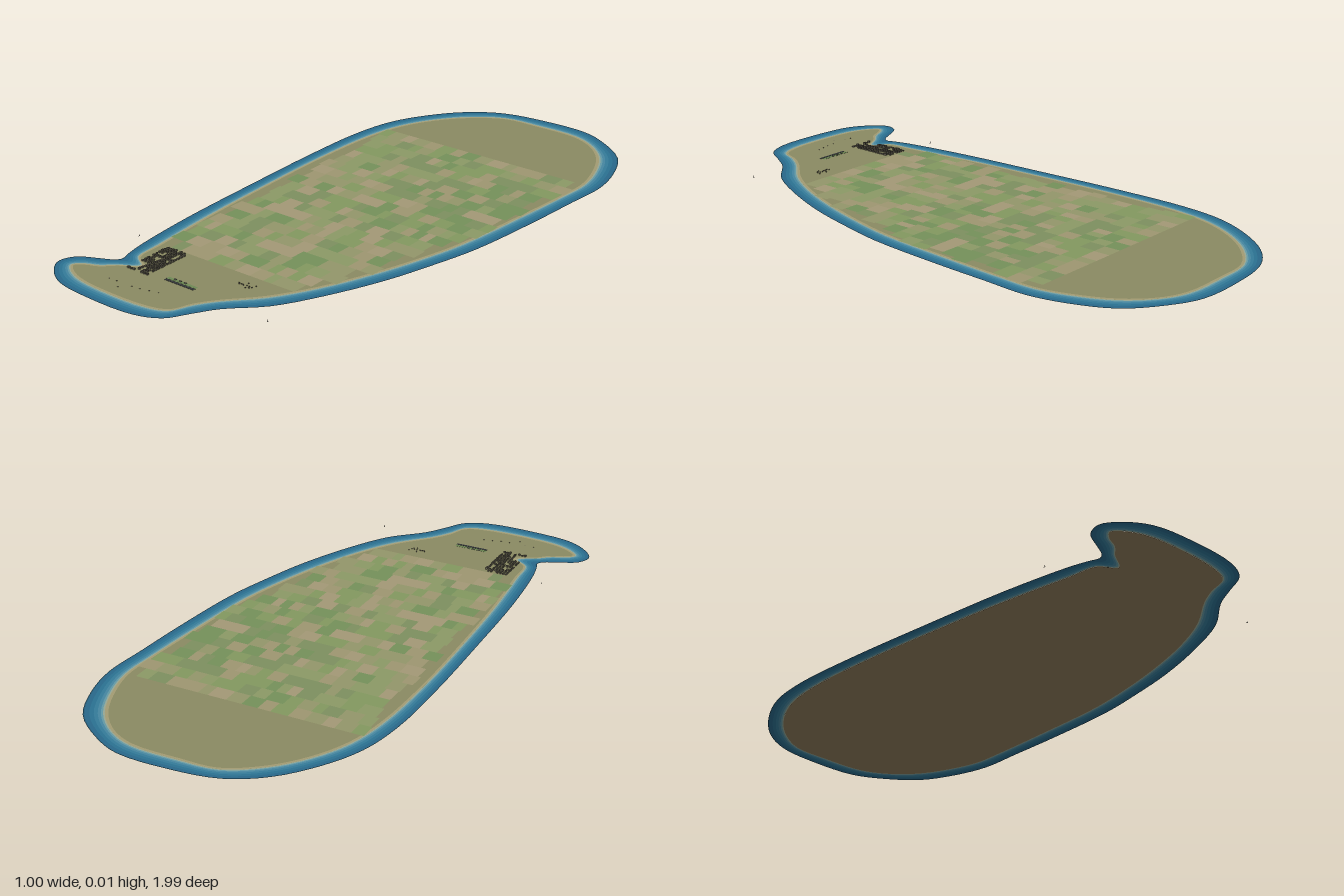
import * as THREE from 'three';
import { mergeGeometries } from 'three/addons/utils/BufferGeometryUtils.js';

// outer edge of the water and matching shoreline, as x, z pairs
const SEA = [.03, -1, .2, -.995, .3, -.95, .41, -.86, .47, -.73, .495, -.6, .485, -.45, .47, -.24, .44, .03,
  .4, .2, .35, .37, .27, .56, .19, .7, .09, .8, .045, .87, 0, .94, -.08, .975, -.26, .98, -.4, .96,
  -.475, .91, -.505, .86, -.485, .81, -.42, .775, -.38, .755, -.365, .735, -.375, .7, -.39, .63,
  -.415, .4, -.43, .08, -.44, -.24, -.435, -.5, -.405, -.66, -.34, -.79, -.245, -.905, -.13, -.975];
const SHORE = [.03, -.945, .19, -.94, .28, -.9, .36, -.82, .415, -.7, .44, -.59, .435, -.47, .415, -.24, .385, .03,
  .345, .2, .295, .36, .225, .53, .145, .665, .05, .77, .01, .83, -.02, .895, -.085, .92, -.26, .925, -.375, .91,
  -.435, .88, -.455, .855, -.43, .83, -.385, .81, -.345, .775, -.285, .735, -.335, .695, -.345, .6,
  -.37, .35, -.385, .08, -.395, -.24, -.385, -.5, -.355, -.645, -.295, -.765, -.21, -.865, -.1, -.935];

let seed = 7;
const random = () => (seed = (seed * 16807) % 2147483647) / 2147483647;
const pick = (list) => list[Math.floor(random() * list.length)];

function smoothOutline(flat) {
  const points = [];
  for (let i = 0; i < flat.length; i += 2) points.push(new THREE.Vector3(flat[i], 0, flat[i + 1]));
  return new THREE.CatmullRomCurve3(points, true, 'centripetal').getPoints(points.length * 4).slice(0, -1);
}

// flat strip between two matching closed outlines
function ringGeometry(outer, inner) {
  const n = outer.length, position = [], index = [];
  for (const p of [...outer, ...inner]) position.push(p.x, p.y, p.z);
  for (let i = 0; i < n; i++) {
    const j = (i + 1) % n;
    index.push(i, n + i, j, j, n + i, n + j);
  }
  const g = new THREE.BufferGeometry();
  g.setAttribute('position', new THREE.Float32BufferAttribute(position, 3));
  g.setIndex(index);
  g.computeVertexNormals();
  return g;
}

function inside(x, z, outline) {
  let hit = false;
  outline.forEach((a, i) => {
    const b = outline[(i + 1) % outline.length];
    if ((a.z > z) !== (b.z > z) && x < a.x + (z - a.z) / (b.z - a.z) * (b.x - a.x)) hit = !hit;
  });
  return hit;
}

const box = (x, z, w, h, d, y = 0.001) => new THREE.BoxGeometry(w, h, d).translate(x, y + h / 2, z);

export function createModel() {
  const model = new THREE.Group();
  const add = (name, geometry, color, side = THREE.FrontSide) => {
    const mesh = new THREE.Mesh(geometry, new THREE.MeshStandardMaterial({ color, side }));
    mesh.name = name;
    model.add(mesh);
    return mesh;
  };
  const sea = smoothOutline(SEA), shore = smoothOutline(SHORE);
  const between = (t) => sea.map((p, i) => p.clone().lerp(shore[i], t));

  // shallow water, from dark outside to pale at the beach
  const stops = [0, .07, .3, .5, .68, .82, .92, 1];
  const blues = [0x245873, 0x28688a, 0x2b7191, 0x347b99, 0x4586a0, 0x6299a6, 0x97a794];
  blues.forEach((c, i) =>
    add('waterBand' + (i + 1), ringGeometry(between(stops[i]), between(stops[i + 1])), c, THREE.DoubleSide));

  // beach and land
  const land = new THREE.ShapeGeometry(new THREE.Shape(shore.map((p) => new THREE.Vector2(p.x, -p.z))));
  land.rotateX(-Math.PI / 2);
  add('land', land, 0x8a8a62);
  add('landUnderside', land.clone().rotateX(Math.PI).scale(1, 1, -1).scale(1, 1, 1), 0x8a7758, THREE.DoubleSide)
    .position.y = -0.0004;
  add('beach', ringGeometry(between(1), between(1.16)).translate(0, 0.0003, 0), 0xa39b72);

  // patchwork of fields
  const colors = [0x74905a, 0x82985f, 0x8b9966, 0x93966a, 0x9d9670, 0xa39876, 0x7d8f5f];
  const patches = colors.map(() => []);
  const rows = 21, depth = 1.18 / rows;
  for (let r = 0; r < rows; r++) {
    const z = -0.59 + (r + 0.5) * depth;
    for (let x = -0.4, w; x < 0.46; x += w) {
      w = 0.03 + random() * 0.035;
      const k = Math.floor(random() * colors.length), cx = x + w / 2;
      const fits = [-1, 1].every((s) => inside(cx + s * w * 0.4, z - depth * 0.4, shore)
        && inside(cx + s * w * 0.4, z + depth * 0.4, shore));
      if (fits) patches[k].push(new THREE.PlaneGeometry(w, depth).rotateX(-Math.PI / 2).translate(cx, 0.0006, z));
    }
  }
  patches.forEach((list, i) => list.length && add('fields' + (i + 1), mergeGeometries(list), colors[i]));

  // town blocks beside the bay
  const town = [];
  for (let i = 0; i < 8; i++) for (let j = 0; j < 15; j++) {
    const x = -0.305 + i * 0.011, z = 0.6 + j * 0.012;
    if (random() < 0.75 && inside(x - 0.01, z, shore))
      town.push(box(x, z, 0.004 + random() * 0.003, 0.003 + random() * 0.004, 0.005 + random() * 0.003, 0.0006));
  }
  add('town', mergeGeometries(town), 0x6b6658);

  // airfield with runway, apron and sheds
  add('airfieldGrass', box(-0.11, 0.745, 0.115, 0.0003, 0.012, 0.0004), 0x6f8a55);
  add('runway', box(-0.108, 0.757, 0.115, 0.0006, 0.009, 0.0004), 0x35383a);
  add('airfieldSheds', mergeGeometries([-0.14, -0.12, -0.1].map((x) => box(x, 0.742, 0.008, 0.002, 0.004, 0.0006))), 0x77756c);

  // coastal village and scattered southern houses
  const houses = [];
  for (let i = 0; i < 12; i++) houses.push(box(0.022 + i * 0.005, 0.63 + random() * 0.03, 0.003, 0.002, 0.003, 0.0006));
  for (let i = 0; i < 7; i++) houses.push(box(-0.3 + i * 0.03, 0.83 + random() * 0.05, 0.003, 0.0012, 0.003, 0.0004));
  add('houses', mergeGeometries(houses), pick([0x6b6658]));

  // small boats off the coast
  for (const [x, z] of [[-0.437, 0.59], [0.245, 0.775]])
    add('boat', mergeGeometries([box(x, z, 0.002, 0.001, 0.005, 0), box(x, z, 0.0006, 0.006, 0.001, 0.001)]), 0x55534c);
  return model;
}
